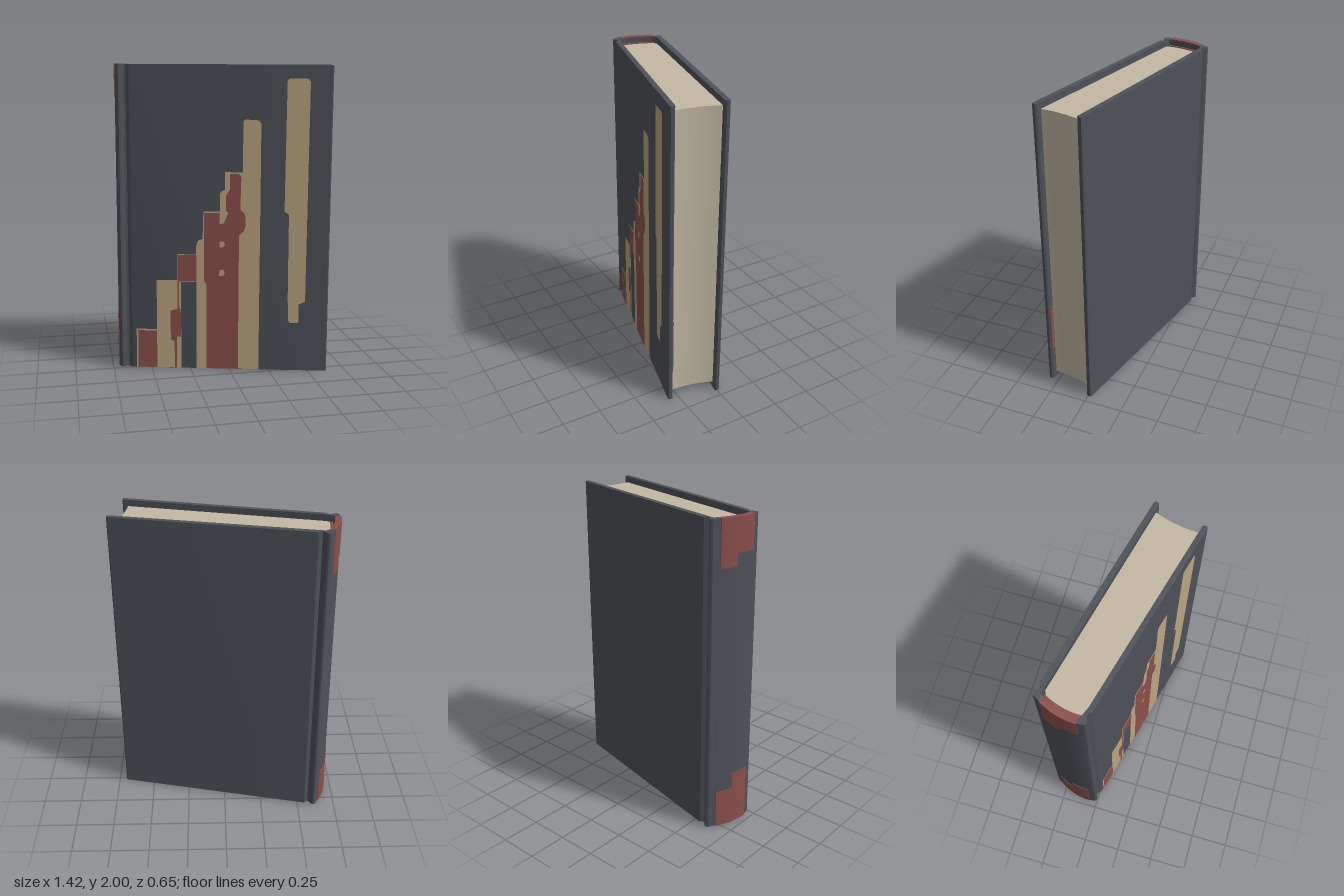
import * as THREE from 'three';
import { toCreasedNormals } from 'three/addons/utils/BufferGeometryUtils.js';

const material = (name, color, side = THREE.FrontSide) => {
  const m = new THREE.MeshStandardMaterial({ color, side });
  m.name = name;
  return m;
};

export function createModel() {
  const cloth = material('slate cloth', 0x4d5259);
  const paper = material('cream paper', 0xc3b8a2);
  const red = material('brick red', 0x8b4f4a);
  const gold = material('tan', 0xbaa47f);

  const book = new THREE.Group();
  book.name = 'book';

  const add = (parent, name, geometry, mat) => {
    const mesh = new THREE.Mesh(geometry, mat);
    mesh.name = name;
    parent.add(mesh);
    return mesh;
  };

  // Upright prism from a plan outline of [x, z] points
  const prism = (name, plan, y0, y1, mat) => {
    const shape = new THREE.Shape(plan.map(([x, z]) => new THREE.Vector2(x, -z)));
    const geo = new THREE.ExtrudeGeometry(shape, { depth: y1 - y0, bevelEnabled: false });
    geo.rotateX(-Math.PI / 2);
    geo.translate(0, y0, 0);
    return add(book, name, toCreasedNormals(geo, 0.5), mat);
  };

  // Rounded spine: x as a function of z, sampled with an offset
  const spineX = (z) => -0.705 + 1.29 * (z + 0.06) ** 2;
  const spineLine = (z0, z1, offset, n = 14) =>
    Array.from({ length: n + 1 }, (_, i) => {
      const z = z0 + ((z1 - z0) * i) / n;
      return [spineX(z) + offset, z];
    });
  const spineBand = (z0, z1, outer, inner) =>
    [...spineLine(z0, z1, outer), ...spineLine(z1, z0, inner)];

  // Outer planes of the two slightly splayed boards
  const frontZ = (x) => 0.01 + 0.25 * (x + 0.62);
  const backZ = (x) => -0.31 + 0.234 * (x + 0.54);
  const T = 0.033;
  const bottom = 0.004, top = 1.996;

  // Case: back board, back hinge, spine, front hinge and front board in one outline
  prism('coverCase', [
    [0.692, backZ(0.692) + T], [0.7, backZ(0.7) + T - 0.008], [0.703, backZ(0.7) + 0.006], [0.695, backZ(0.695)],
    [-0.53, backZ(-0.53)], [-0.545, -0.31], [-0.556, -0.302], [-0.57, -0.292], [-0.582, -0.308],
    [-0.595, -0.325], [-0.607, -0.329], [-0.62, -0.322],
    ...spineLine(-0.295, -0.03, 0),
    [-0.7, -0.012], [-0.688, -0.003], [-0.673, -0.004], [-0.655, -0.013], [-0.64, -0.012],
    [-0.628, 0.003], [-0.615, frontZ(-0.615)],
    [0.618, frontZ(0.618)], [0.626, frontZ(0.62) - 0.004], [0.63, frontZ(0.63) - T + 0.008], [0.622, frontZ(0.622) - T],
    [-0.6, frontZ(-0.6) - T], [-0.64, -0.034],
    ...spineLine(-0.045, -0.265, 0.037),
    [-0.59, -0.283], [-0.57, -0.278],
  ], bottom, top, cloth);

  // Page block with a rounded back and a concave fore edge
  const foreEdge = new THREE.QuadraticBezierCurve(
    new THREE.Vector2(0.657, 0.004), new THREE.Vector2(0.602, 0.125), new THREE.Vector2(0.596, 0.278),
  ).getPoints(14).map((p) => [p.x, p.y]);
  prism('pageBlock', [
    [-0.565, -0.274], ...foreEdge, [-0.62, -0.028],
    ...spineLine(-0.04, -0.262, 0.062),
  ], 0.045, 1.957, paper);

  // Lining strip between pages and spine
  prism('spineLining', spineBand(-0.27, -0.05, 0.045, 0.06), 0.04, 1.962, red);

  // Stepped red panels at head and tail of the spine
  const panels = [
    ['spineHeadBack', -0.28, -0.18, 1.71, top + 0.003],
    ['spineHeadFront', -0.18, -0.055, 1.79, top + 0.003],
    ['spineTailBack', -0.28, -0.18, bottom - 0.003, 0.25],
    ['spineTailFront', -0.18, -0.055, bottom - 0.003, 0.36],
  ];
  for (const [name, z0, z1, y0, y1] of panels)
    prism(name, spineBand(z0, z1, -0.004, 0.036), y0, y1, red);

  // Small red mark on the inside edge of the front board
  prism('insideMark', [0.6, 0.622].flatMap((x) => [[x, frontZ(x) - T]])
    .concat([0.622, 0.6].map((x) => [x, frontZ(x) - T - 0.004])), 0.25, 0.59, red);

  // Cover artwork: flat shapes sheared onto the front board
  const art = new THREE.Group();
  art.name = 'coverArtwork';
  book.add(art);
  const decal = (name, points, mat, lift) => {
    const geo = new THREE.ShapeGeometry(new THREE.Shape(points.map((p) => new THREE.Vector2(...p))));
    geo.applyMatrix4(new THREE.Matrix4().set(
      1, 0, 0, 0,
      0, 1, 0, 0,
      0.25, 0, 1, frontZ(0) + lift,
      0, 0, 0, 1,
    ));
    return add(art, name, geo, mat);
  };
  const rect = (x0, y0, x1, y1) => [[x0, y0], [x1, y0], [x1, y1], [x0, y1]];
  const low = 0.003, mid = 0.005, high = 0.007, base = 0.006;

  decal('steppedTowers', [
    [-0.21, base], [0.19, base], [0.19, 1.63], [0.175, 1.65], [0.09, 1.655], [0.08, 1.64], [0.08, 1.32],
    [-0.03, 1.32], [-0.03, 1.21], [-0.06, 1.19], [-0.06, 1.065], [-0.165, 1.065], [-0.17, 0.885],
    [-0.2, 0.87], [-0.21, 0.84],
  ], gold, low);
  decal('towerFace', [
    [-0.145, base], [0.058, base], [0.058, 0.91], [0.09, 0.94], [0.1, 0.985], [0.095, 1.05], [0.065, 1.08],
    [0.07, 1.29], [0.055, 1.31], [0, 1.31], [0, 1.21], [-0.025, 1.17], [-0.025, 1.07], [-0.01, 1.06],
    [-0.035, 0.99], [-0.065, 0.98], [-0.065, 1.055], [-0.16, 1.055], [-0.16, 0.6], [-0.145, 0.58],
  ], red, mid);
  for (const y of [0.85, 0.66])
    decal('towerWindow', [
      [-0.065, y - 0.02], [-0.04, y - 0.02], [-0.03, y], [-0.04, y + 0.02], [-0.065, y + 0.02],
    ], gold, high);

  decal('smallBlockTrim', rect(-0.595, base, -0.46, 0.27), gold, low);
  decal('smallBlock', rect(-0.585, base, -0.463, 0.26), red, mid);
  decal('secondTower', rect(-0.463, base, -0.307, 0.605), gold, low);
  decal('secondTowerShade', [
    [-0.35, base], [-0.335, base], [-0.335, 0.22], [-0.31, 0.22], [-0.31, 0.4], [-0.32, 0.43], [-0.32, 0.605],
    [-0.33, 0.605], [-0.33, 0.41], [-0.375, 0.4], [-0.375, 0.2], [-0.35, 0.19],
  ], red, mid);
  decal('thirdBlockTrim', rect(-0.33, 0.595, -0.21, 0.78), gold, low);
  decal('thirdBlock', rect(-0.325, 0.598, -0.21, 0.775), red, mid);
  decal('tallBar', [
    [0.44, 0.33], [0.44, 0.455], [0.48, 0.475], [0.485, 1.89], [0.47, 1.91], [0.355, 1.91], [0.345, 1.895],
    [0.34, 1.07], [0.368, 1.05], [0.37, 0.5], [0.375, 0.35], [0.385, 0.33],
  ], gold, low);

  // Slight lean of the whole book
  book.rotation.z = -0.005;
  book.position.x = 0.002;
  book.position.x -= 0.005;
  const model = new THREE.Group();
  model.name = 'model';
  model.add(book);
  return model;
}
